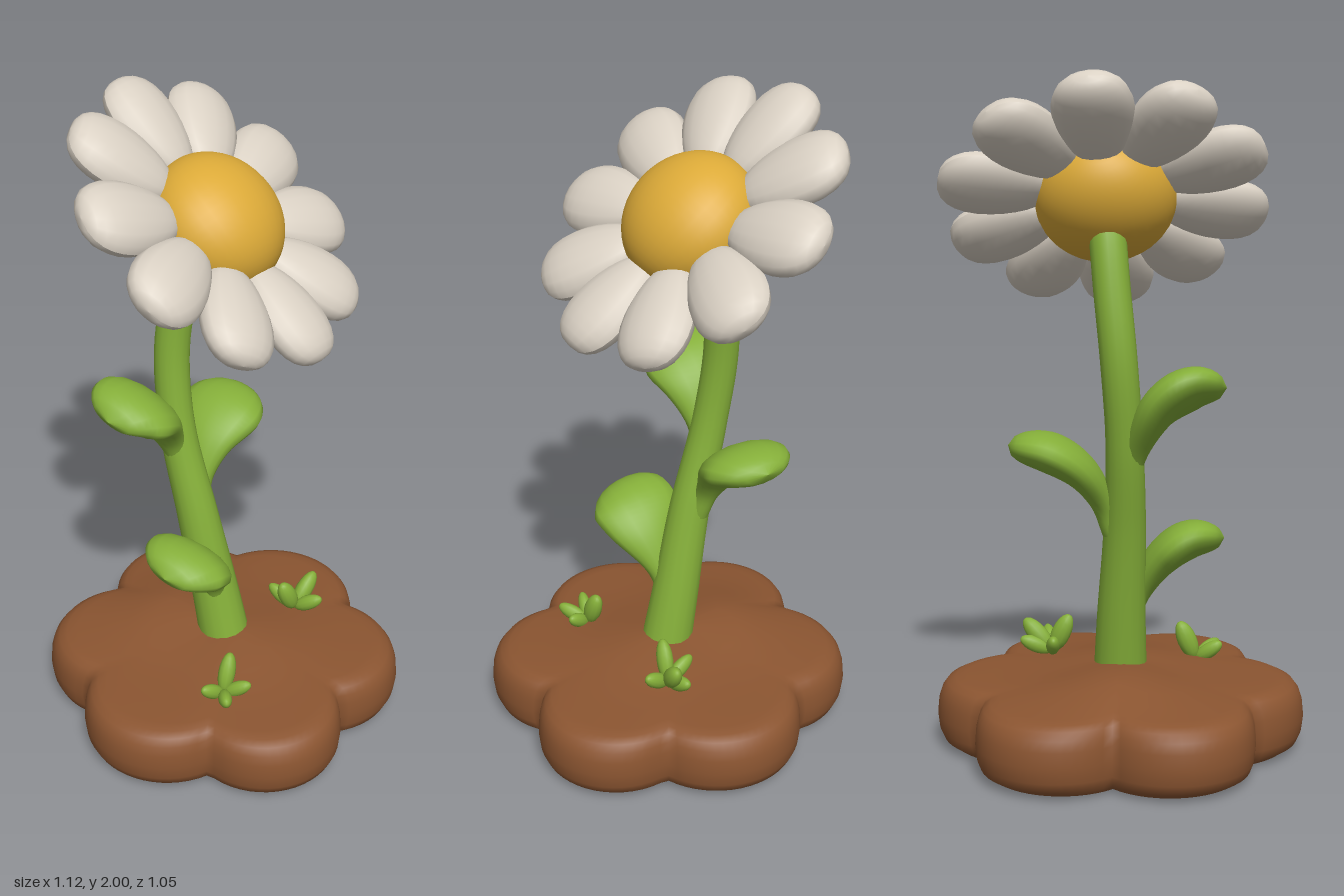
import * as THREE from 'three';

const mat = (name, color) => {
  const m = new THREE.MeshStandardMaterial({ color });
  m.name = name;
  return m;
};
const V = (x, y, z) => new THREE.Vector3(x, y, z);

// Closed rings of points joined into a smooth skin; flip reverses the facing
function skin(rings, flip) {
  const pos = [], index = [], n = rings[0].length;
  rings.forEach((r) => r.forEach((p) => pos.push(p.x, p.y, p.z)));
  for (let i = 0; i < rings.length - 1; i++) {
    for (let j = 0; j < n; j++) {
      const a = i * n + j, b = i * n + (j + 1) % n, c = a + n, d = b + n;
      if (flip) index.push(a, c, b, b, c, d);
      else index.push(a, b, c, b, d, c);
    }
  }
  const g = new THREE.BufferGeometry();
  g.setAttribute('position', new THREE.Float32BufferAttribute(pos, 3));
  g.setIndex(index);
  g.computeVertexNormals();
  return g;
}

// Elliptical section swept along a curve; size(t) gives [half width, half thickness]
function sweep(points, axis, size, segments = 28, sides = 16) {
  const curve = new THREE.CatmullRomCurve3(points);
  const rings = [];
  for (let i = 0; i <= segments; i++) {
    const t = i / segments;
    const p = curve.getPointAt(t), T = curve.getTangentAt(t);
    const A = axis.clone().addScaledVector(T, -axis.dot(T)).normalize();
    const B = T.clone().cross(A);
    const [w, h] = size(t);
    rings.push(Array.from({ length: sides }, (_, j) => {
      const a = (j / sides) * Math.PI * 2;
      return p.clone().addScaledVector(A, Math.cos(a) * w).addScaledVector(B, Math.sin(a) * h);
    }));
  }
  return skin(rings, false);
}

// Six-lobed soil base: outline is the union of six circles seen from the centre
function soilGeometry() {
  const lobes = [[0.3, 0, 0.26], [-0.3, 0, 0.26]];
  for (const sx of [-1, 1]) for (const sz of [-1, 1]) lobes.push([sx * 0.168, sz * 0.286, 0.238]);
  const radius = (c, s) => Math.max(...lobes.map(([x, z, r]) => {
    const along = x * c + z * s;
    const disc = r * r - x * x - z * z + along * along;
    return disc > 0 ? along + Math.sqrt(disc) : 0;
  }));
  // Two low heaps of soil, in front of and behind the stem
  const heap = (x, z, z0, h) => h * Math.exp(-((x / 0.2) ** 2) - ((z - z0) / 0.17) ** 2);
  const profile = [[0.001, 0], [0.82, 0], [0.91, 0.006], [0.965, 0.025], [0.99, 0.055], [1, 0.1], [0.992, 0.145],
    [0.975, 0.175], [0.945, 0.197], [0.9, 0.208], [0.84, 0.212], [0.7, 0.214], [0.55, 0.215], [0.4, 0.215],
    [0.2, 0.215], [0.001, 0.215]];
  const count = 120;
  const rings = profile.map(([k, y]) => Array.from({ length: count }, (_, j) => {
    const a = (j / count) * Math.PI * 2, c = Math.cos(a), s = Math.sin(a);
    const r = radius(c, s) * k, x = r * c, z = r * s;
    const mound = y > 0.2 ? (heap(x, z, 0.1, 0.047) + heap(x, z, -0.19, 0.057)) * Math.min(1, (1 - k) * 4) : 0;
    return V(x, y + mound, z);
  }));
  return skin(rings, true);
}

// Plump, blunt petal pointing along +y, wider towards its tip
function petalGeometry() {
  const g = new THREE.SphereGeometry(1, 16, 14);
  const p = g.attributes.position;
  for (let i = 0; i < p.count; i++) {
    const y = p.getY(i), r = Math.sqrt(Math.max(0, 1 - y * y));
    const fuller = (1 + 0.2 * y) * (r > 0.01 ? r ** -0.2 : 1);
    p.setXYZ(i, p.getX(i) * 0.112 * fuller, 0.325 + y * 0.165, p.getZ(i) * 0.063 * fuller);
  }
  g.computeVertexNormals();
  return g;
}

export function createModel() {
  const white = mat('petal white', 0xdad1c4);
  const yellow = mat('flower centre yellow', 0xdcaa38);
  const green = mat('leaf green', 0x85af39);
  const brown = mat('soil brown', 0x8b5531);

  const model = new THREE.Group();
  model.name = 'flower';
  const add = (parent, name, geometry, material) => {
    const m = new THREE.Mesh(geometry, material);
    m.name = name;
    parent.add(m);
    return m;
  };

  add(model, 'soilBase', soilGeometry(), brown);

  // Stem, bowed backwards and tapering, with a rounded upper end
  const stemPath = [V(0, 0.2, 0.01), V(-0.005, 0.4, -0.03), V(-0.018, 0.68, -0.088), V(-0.02, 0.95, -0.155),
    V(-0.005, 1.2, -0.186), V(0.015, 1.4, -0.17), V(0.03, 1.56, -0.135), V(0.04, 1.65, -0.09)];
  add(model, 'stem', sweep(stemPath, V(1, 0, 0), (t) => {
    const r = 0.054 + 0.028 * Math.max(0, 1 - t * 1.8) ** 1.2;
    const end = t > 0.96 ? Math.sqrt(Math.max(0, 1 - ((t - 0.96) / 0.04) ** 2)) : 1;
    return [r * end, r * end];
  }, 40), green);

  // Paddle-shaped leaves that rise from the stem and bend outwards
  const leafSize = (t) => {
    const grow = THREE.MathUtils.smoothstep(t, 0.1, 0.72);
    const tip = t > 0.7 ? Math.sqrt(Math.max(0, 1 - ((t - 0.7) / 0.3) ** 2)) : 1;
    return [(0.032 + 0.107 * grow) * tip, (0.034 + 0.026 * grow) * tip];
  };
  const leaves = {
    upperRightLeaf: [[V(-0.02, 0.82, -0.13), V(-0.065, 0.96, -0.16), V(-0.13, 1.065, -0.175),
      V(-0.22, 1.12, -0.18), V(-0.315, 1.12, -0.18)], V(0, 0.33, -0.94)],
    leftLeaf: [[V(0.015, 0.68, -0.1), V(0.05, 0.78, -0.12), V(0.11, 0.87, -0.14),
      V(0.2, 0.925, -0.15), V(0.32, 0.945, -0.15)], V(0, 0.08, -1)],
    lowerRightLeaf: [[V(-0.02, 0.37, -0.01), V(-0.06, 0.48, 0), V(-0.13, 0.58, 0.01),
      V(-0.21, 0.635, 0.01), V(-0.315, 0.64, 0.015)], V(-0.1, 0.25, -0.95)],
  };
  for (const [name, [path, axis]] of Object.entries(leaves)) add(model, name, sweep(path, axis, leafSize), green);

  // Flower head, facing up and forwards
  const head = new THREE.Group();
  head.name = 'flowerHead';
  const u = V(0.99, -0.1, -0.02).normalize();
  const n = V(0.09, 0.76, 0.65);
  n.addScaledVector(u, -n.dot(u)).normalize();
  head.quaternion.setFromRotationMatrix(new THREE.Matrix4().makeBasis(u, n.clone().cross(u), n));
  head.position.set(0.04, 1.662, -0.045);
  model.add(head);
  const centre = add(head, 'flowerCentre', new THREE.SphereGeometry(1, 32, 24), yellow);
  centre.scale.set(0.207, 0.207, 0.165);
  centre.position.z = -0.01;
  const petal = petalGeometry();
  for (let i = 0; i < 10; i++) add(head, `petal${i + 1}`, petal, white).rotation.z = (i / 10) * Math.PI * 2;

  // Small sprouts on the soil; each blade has a lean and a turn
  const blade = new THREE.SphereGeometry(1, 12, 10).scale(0.028, 0.06, 0.024).translate(0, 0.062, 0);
  const sprout = (name, position, blades) => {
    const g = new THREE.Group();
    g.name = name;
    g.position.copy(position);
    for (const [lean, turn, size] of blades) {
      const b = add(g, 'sproutBlade', blade, green);
      b.rotation.set(0, turn, -lean, 'YXZ');
      b.scale.setScalar(size);
    }
    model.add(g);
  };
  sprout('leftSprout', V(0.22, 0.245, 0.13), [[0.45, 2.9, 1.1], [0.75, -0.2, 1.1], [1.0, -1.3, 0.9], [1.0, 1.7, 0.9], [1.15, 0.2, 0.9]]);
  sprout('rightSprout', V(-0.23, 0.213, 0.17), [[0.4, 0.2, 1.1], [0.95, 2.9, 0.85], [1.15, -2.4, 0.9], [1.0, -1.2, 0.85]]);

  return model;
}
